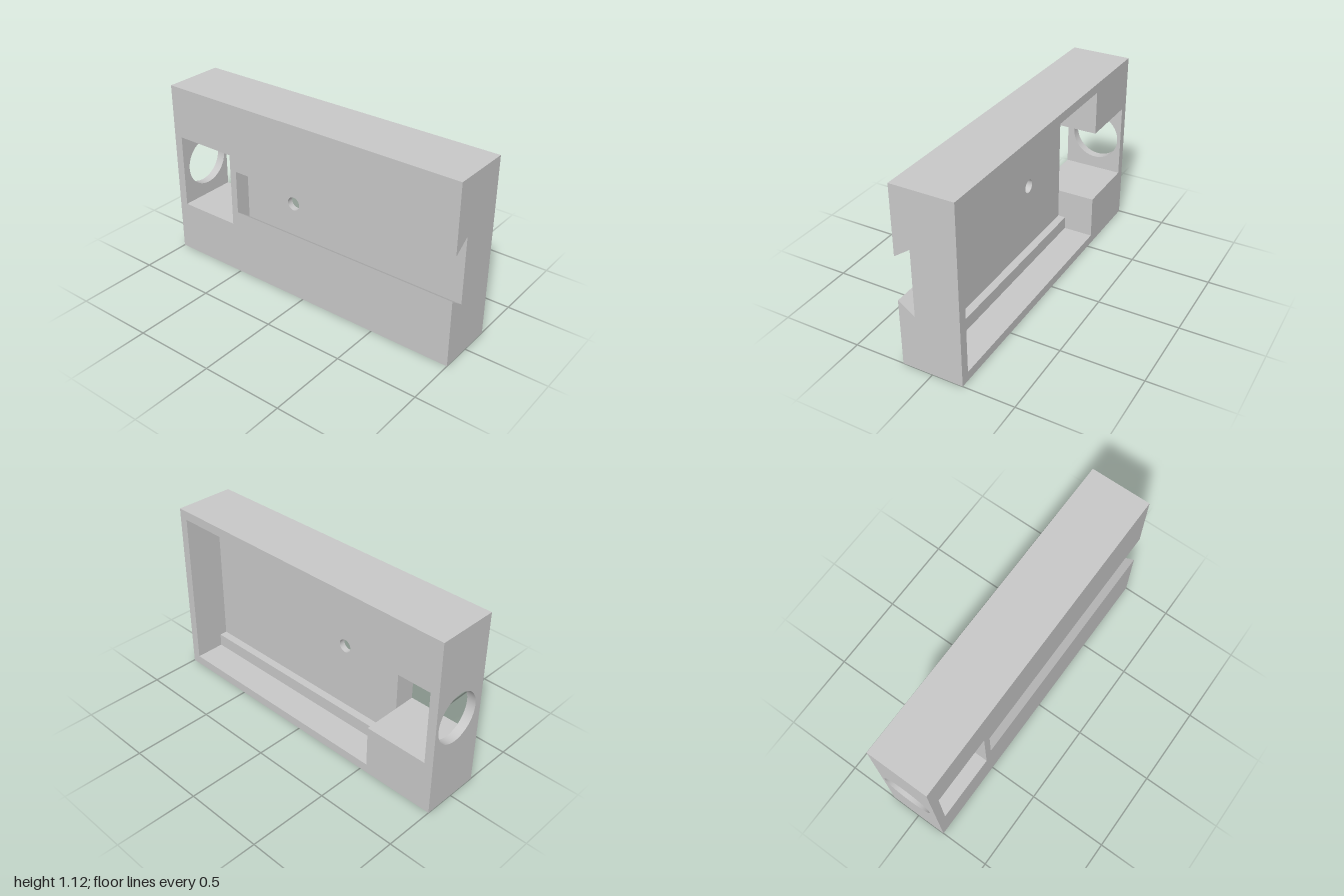
import * as THREE from 'three';
import { mergeGeometries } from 'three/addons/utils/BufferGeometryUtils.js';

// Main dimensions
const H = 1.116, M = H / 2, B = 0.188;            // height, mid height, half depth
const W0 = -0.945, W1 = -0.545, WB = 0.326, WT = H - WB;  // window
const P1 = 0.945, PB = 0.057, PT = H - PB;        // rear pocket (starts at W1)
const SB = 0.139, ST = H - SB, LZ = 0, FZ = 0.05; // rear ledges and pocket floor
const G0 = -0.5, GZ = 0.088, GM = 0.137, GD = 0.208; // dovetail: end, floor, half heights
const HX = -0.144, HR = 0.042;                    // screw hole
const BR = 0.155, BZ = -0.012;                    // side bore

const onX = (x) => (u, v) => [x, v, u];           // planes: (z, y), (x, z), (x, y)
const onY = (y) => (u, v) => [u, y, v];
const onZ = (z) => (u, v) => [u, v, z];

const rect = (a, b, c, d) => [[a, b], [c, b], [c, d], [a, d]];
const circle = (cx, cy, r, n = 48) => Array.from({ length: n }, (_, i) => {
  const t = (i / n) * Math.PI * 2;
  return [cx + r * Math.cos(t), cy + r * Math.sin(t)];
});

// Flat face with holes; dir is +1 or -1 along the plane's axis
function face(place, outline, dir, ...holes) {
  const vec = (p) => p.map(([u, v]) => new THREE.Vector2(u, v));
  const shape = new THREE.Shape(vec(outline));
  holes.forEach((h) => shape.holes.push(new THREE.Path(vec(h))));
  const geo = new THREE.ShapeGeometry(shape);
  const pos = geo.attributes.position;
  for (let i = 0; i < pos.count; i++) pos.setXYZ(i, ...place(pos.getX(i), pos.getY(i)));
  return orient(geo, dir);
}

// Turn triangles so the largest normal component has the sign of dir
function orient(geo, dir) {
  geo.computeVertexNormals();
  const n = geo.attributes.normal;
  const c = [n.getX(0), n.getY(0), n.getZ(0)];
  const main = c.reduce((a, b) => (Math.abs(b) > Math.abs(a) ? b : a));
  if (main * dir < 0) {
    geo.index.array.reverse();
    geo.computeVertexNormals();
  }
  return geo;
}

// Sloped strip between two (y, z) points, running along x
function slope(x0, x1, [ya, za], [yb, zb], dir) {
  const geo = new THREE.PlaneGeometry(1, 1);
  geo.setAttribute('position', new THREE.Float32BufferAttribute(
    [x0, ya, za, x1, ya, za, x0, yb, zb, x1, yb, zb], 3));
  return orient(geo, dir);
}

// Inward-facing wall of a round hole along z
function bore(r, length) {
  const geo = new THREE.CylinderGeometry(r, r, length, 48, 1, true);
  geo.index.array.reverse();
  const n = geo.attributes.normal;
  for (let i = 0; i < n.count; i++) n.setXYZ(i, -n.getX(i), -n.getY(i), -n.getZ(i));
  return geo.rotateX(Math.PI / 2);
}

export function createModel() {
  const group = new THREE.Group();
  const grey = new THREE.MeshStandardMaterial({ color: 0xc8c8c8 });
  grey.name = 'lightGrey';
  const add = (name, ...geos) => {
    const mesh = new THREE.Mesh(mergeGeometries(geos), grey);
    mesh.name = name;
    group.add(mesh);
  };
  const windowRect = rect(W0, WB, W1, WT);
  const screw = circle(HX, M, HR), side = circle(BZ, M, BR);

  // Outer shell of the block
  add('outerShell',
    face(onZ(B), [[-1, 0], [1, 0], [1, M - GM], [G0, M - GM], [G0, M + GM], [1, M + GM], [1, H], [-1, H]], 1, windowRect),
    face(onZ(-B), rect(-1, 0, 1, H), -1,
      [[W0, WB], [W1, WB], [W1, PB], [P1, PB], [P1, PT], [W1, PT], [W1, WT], [W0, WT]]),
    face(onY(H), rect(-1, -B, 1, B), 1),
    face(onY(0), rect(-1, -B, 1, B), -1),
    face(onX(-1), rect(-B, 0, B, H), -1, side),
    face(onX(1), [[-B, 0], [B, 0], [B, M - GM], [GZ, M - GD], [GZ, M + GD], [B, M + GM], [B, H], [-B, H]], 1));

  // Through window beside the pocket
  add('window',
    face(onX(W0), rect(-B, WB, B, WT), 1, side),
    face(onX(W1), rect(FZ, WB, B, WT), -1),
    face(onY(WB), rect(W0, -B, W1, B), 1),
    face(onY(WT), rect(W0, -B, W1, B), -1));

  // Stepped rear pocket
  const lower = [[-B, PB], [LZ, PB], [LZ, SB], [FZ, SB]];
  const upper = lower.map(([z, y]) => [z, H - y]).reverse();
  add('rearPocket',
    face(onX(P1), [...lower, ...upper], -1),
    face(onX(W1), [...lower, [FZ, WB], [-B, WB]], 1),
    face(onX(W1), [[-B, WT], [FZ, WT], ...upper], 1),
    face(onZ(FZ), rect(W1, SB, P1, ST), -1, screw));
  add('pocketLedges', ...[0, 1].flatMap((top) => {
    const y = (v) => (top ? H - v : v), dir = top ? -1 : 1;
    return [
      face(onY(y(PB)), rect(W1, -B, P1, LZ), dir),
      face(onZ(LZ), rect(W1, Math.min(y(PB), y(SB)), P1, Math.max(y(PB), y(SB))), -1),
      face(onY(y(SB)), rect(W1, LZ, P1, FZ), dir)];
  }));

  // Dovetail slot, open at one end
  add('dovetailSlot',
    face(onZ(GZ), rect(G0, M - GD, 1, M + GD), 1, screw),
    face(onX(G0), [[B, M - GM], [GZ, M - GD], [GZ, M + GD], [B, M + GM]], 1),
    slope(G0, 1, [M - GM, B], [M - GD, GZ], 1),
    slope(G0, 1, [M + GM, B], [M + GD, GZ], -1));

  // Round holes
  add('screwHole', bore(HR, GZ - FZ).translate(HX, M, (GZ + FZ) / 2));
  add('sideBore', bore(BR, 1 + W0).rotateY(Math.PI / 2).translate((W0 - 1) / 2, M, BZ));
  return group;
}
